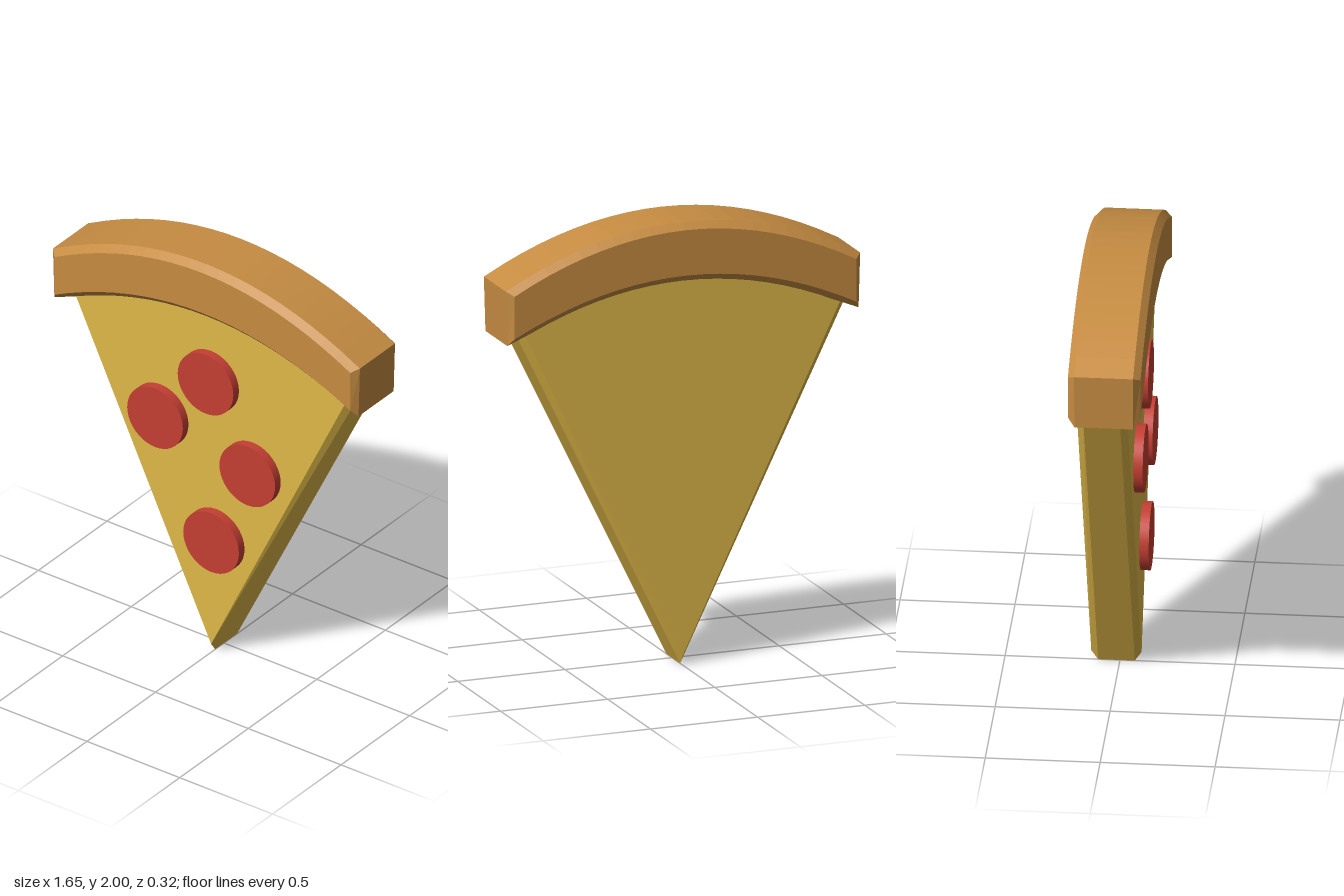
import * as THREE from 'three';

const BEVEL = 0.03;

// Chamfered plate whose z range runs from back to front
function chamferedPlate(shape, back, front) {
  const geometry = new THREE.ExtrudeGeometry(shape, {
    depth: front - back - 2 * BEVEL,
    bevelEnabled: true,
    bevelThickness: BEVEL,
    bevelSize: BEVEL,
    bevelSegments: 1,
    curveSegments: 20,
  });
  geometry.translate(0, 0, back + BEVEL);
  return geometry;
}

export function createModel() {
  const cheeseMat = new THREE.MeshStandardMaterial({ color: 0xe0b848 });
  cheeseMat.name = 'cheese yellow';
  const crustMat = new THREE.MeshStandardMaterial({ color: 0xc68c42 });
  crustMat.name = 'crust brown';
  const pepperoniMat = new THREE.MeshStandardMaterial({ color: 0xc43f33 });
  pepperoniMat.name = 'pepperoni red';

  const group = new THREE.Group();
  group.name = 'pizzaSlice';
  const add = (name, geometry, material) => {
    const mesh = new THREE.Mesh(geometry, material);
    mesh.name = name;
    group.add(mesh);
    return mesh;
  };

  // Wedge of cheese, its curved top tucked inside the crust
  const wedge = new THREE.Shape();
  wedge.moveTo(0, 0.042);
  wedge.lineTo(0.762, 1.62);
  wedge.quadraticCurveTo(0, 2.04, -0.762, 1.62);
  wedge.closePath();
  add('cheese', chamferedPlate(wedge, -0.125, 0.094), cheeseMat);

  // Arched crust with upright ends
  const arch = new THREE.Shape();
  arch.moveTo(-0.797, 1.563);
  arch.quadraticCurveTo(0, 1.967, 0.797, 1.563);
  arch.lineTo(0.797, 1.755);
  arch.quadraticCurveTo(0, 2.185, -0.797, 1.755);
  arch.closePath();
  add('crust', chamferedPlate(arch, -0.158, 0.158), crustMat);

  // Pepperoni discs on the front face
  const disc = new THREE.CylinderGeometry(0.15, 0.15, 0.05, 40).rotateX(Math.PI / 2);
  [[0, 1.39], [-0.272, 1.118], [0.225, 1.005], [0.03, 0.592]].forEach(([x, y], i) => {
    add(`pepperoni${i + 1}`, disc, pepperoniMat).position.set(x, y, 0.11);
  });

  return group;
}
